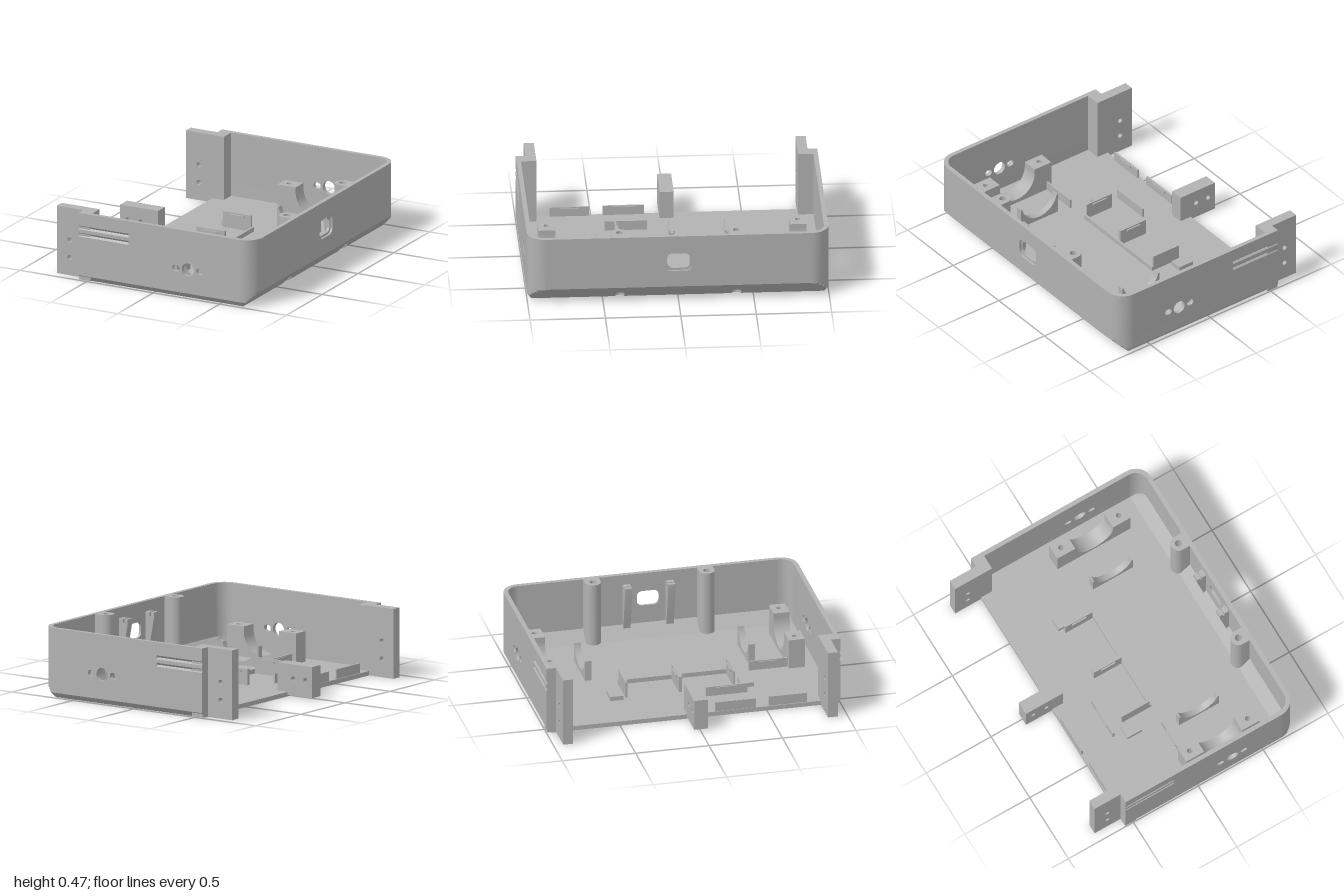
import * as THREE from 'three';
import { toCreasedNormals } from 'three/addons/utils/BufferGeometryUtils.js';

const gray = new THREE.MeshStandardMaterial({ color: 0xb2b2b2, side: THREE.DoubleSide });
gray.name = 'plain gray';
const H = 0.47, LEFT = -0.56, RIGHT = 0.76, T = 0.03; // shell height, ends, wall
const BOSS_X = 0.675, BOSS_Z = 0.387, BORE = 0.035;

const poly = pts => new THREE.Shape(pts.map(p => new THREE.Vector2(p[0], p[1])));
const rect = (x0, y0, x1, y1) => poly([[x0, y0], [x1, y0], [x1, y1], [x0, y1]]);
function rounded(cx, cy, w, h, r) {
  const s = new THREE.Shape(), x = w / 2 - r, y = h / 2 - r;
  s.absarc(cx + x, cy + y, r, 0, Math.PI / 2);
  s.absarc(cx - x, cy + y, r, Math.PI / 2, Math.PI);
  s.absarc(cx - x, cy - y, r, Math.PI, Math.PI * 1.5);
  s.absarc(cx + x, cy - y, r, Math.PI * 1.5, Math.PI * 2);
  return s;
}
const circle = (x, y, r) => new THREE.Path().absarc(x, y, r, 0, Math.PI * 2);
function cut(shape, ...holes) { shape.holes.push(...holes); return shape; }
const extrude = (shape, depth) => new THREE.ExtrudeGeometry(shape, { depth, bevelEnabled: false, curveSegments: 20 });
// Extrusions of a front (x,y), plan (x,z) or side (z,y) outline
const front = (s, z0, z1) => extrude(s, z1 - z0).translate(0, 0, z0);
const plan = (s, y0, y1) => extrude(s, y1 - y0).rotateX(Math.PI / 2).translate(0, y1, 0);
const side = (s, x0, x1) => extrude(s, x1 - x0).rotateY(-Math.PI / 2).translate(x1, 0, 0);
const box = (x0, x1, y0, y1, z0, z1) =>
  new THREE.BoxGeometry(x1 - x0, y1 - y0, z1 - z0).translate((x0 + x1) / 2, (y0 + y1) / 2, (z0 + z1) / 2);

// Surface through rows of points
function loft(rows) {
  const n = rows[0].length, index = [];
  for (let i = 0; i < rows.length - 1; i++) for (let j = 0; j < n - 1; j++) {
    const a = i * n + j, b = a + n;
    index.push(a, b, a + 1, a + 1, b, b + 1);
  }
  const g = new THREE.BufferGeometry();
  g.setAttribute('position', new THREE.Float32BufferAttribute(rows.flat(2), 3));
  g.setIndex(index);
  return g;
}

// Half of the U-shaped shell outline at height y, trimmed by the bottom chamfers
function outline(y, inset, s, arcOnly) {
  const pts = arcOnly ? [] : [[LEFT, 1 - inset]], r = 0.12 - inset;
  for (let k = 0; k <= 14; k++) {
    const a = Math.PI / 2 * (1 - k / 14);
    pts.push([0.64 + r * Math.cos(a), 0.88 + r * Math.sin(a)]);
  }
  const xMax = inset ? 0.62 + y : 0.66 + y, zMax = inset ? 1 : 0.97 + 0.857 * y;
  return pts.map(([x, z]) => [Math.min(x, xMax), y, s * Math.min(z, zMax)]);
}

// Flat floor and sloped strip, both notched by the two screw bores
function floorSkin(xe, x1, ze, y0, holes) {
  const al = Math.acos((xe - BOSS_X) / BORE);
  const arc = (zc, a, b) => Array.from({ length: 17 }, (_, i) => {
    const t = a + (b - a) * i / 16;
    return [BOSS_X + BORE * Math.cos(t), zc + BORE * Math.sin(t)];
  });
  const flat = cut(poly([[LEFT, -ze], [xe, -ze], ...arc(-BOSS_Z, -al, al - 2 * Math.PI),
    ...arc(BOSS_Z, -al, al - 2 * Math.PI), [xe, ze], [LEFT, ze]]), ...holes);
  const slope = poly([[xe, -0.88], [x1, -0.88], [x1, 0.88], [xe, 0.88],
    ...arc(BOSS_Z, al, -al), ...arc(-BOSS_Z, al, -al)]);
  return [flat, slope].map(s => {
    const g = new THREE.ShapeGeometry(s).rotateX(Math.PI / 2), p = g.attributes.position;
    for (let i = 0; i < p.count; i++) p.setY(i, y0 + Math.max(0, p.getX(i) - xe));
    return g;
  });
}

export function createModel() {
  const model = new THREE.Group();
  model.name = 'openEnclosure';
  const add = (name, geo) => {
    const m = new THREE.Mesh(toCreasedNormals(geo, 0.5), gray);
    m.name = name;
    model.add(m);
  };

  // Floor, with two small slots underneath
  const slots = [-0.447, 0.443].map(z => rect(-0.225, z - 0.025, -0.145, z + 0.025));
  floorSkin(0.66, 0.77, 0.97, 0, slots).forEach(g => add('floorUnderside', g));
  floorSkin(0.65, 0.73, 0.97, T, []).forEach(g => add('floorTop', g));
  add('floorEdge', new THREE.ShapeGeometry(poly([[-0.97, 0], [0.97, 0], [1, 0.035], [1, 0.11], [0.97, 0.11],
    [0.97, T], [-0.97, T], [-0.97, 0.11], [-1, 0.11], [-1, 0.035]])).rotateY(-Math.PI / 2).translate(LEFT, 0, 0));

  // Right wall with a stepped port opening
  add('rightWallOuter', side(cut(rect(-0.88, 0.1, 0.88, H), rounded(0, 0.287, 0.18, 0.135, 0.04)), 0.745, RIGHT));
  add('rightWallInner', side(cut(rect(-0.88, 0.11, 0.88, H), rounded(0, 0.287, 0.15, 0.105, 0.035)), 0.73, 0.745));

  for (const s of [-1, 1]) {
    const span = (a, b) => s > 0 ? [a, b] : [-b, -a];
    // Chamfered lower shell and rounded corner
    add('lowerShell', loft([0, 0.035, 0.05, 0.065, 0.08, 0.1, 0.11].map(y => outline(y, 0, s))));
    add('lowerShellInside', loft([0.03, 0.05, 0.07, 0.09, 0.11].map(y => outline(y, T, s))));
    add('corner', loft([[0.11, 0], [H, 0], [H, T], [0.11, T]].map(([y, i]) => outline(y, i, s, true))));

    // Long wall with shaft and screw holes, then its grooved end
    add('longWall', front(cut(rect(-0.185, 0.11, 0.64, H), circle(0.26, 0.2, 0.046),
      rounded(0.17, 0.2, 0.054, 0.044, 0.0215), rounded(0.35, 0.2, 0.054, 0.044, 0.0215)), ...span(0.97, 1)));
    const notch = y => [[s, y - 0.012], [s * 0.988, y], [s, y + 0.014]];
    add('groovedWall', side(poly([[s * 0.97, 0.11], [s, 0.11], ...notch(0.318), ...notch(0.368),
      [s, H], [s * 0.97, H]]), LEFT, -0.185));

    // End bracket
    add('endBracket', front(cut(rect(-0.76, 0, -0.475, H), circle(-0.663, 0.245, 0.017),
      circle(-0.663, 0.123, 0.017)), ...span(0.867, 0.935)));
    add('bracketPad', box(LEFT, -0.475, 0.005, H, ...span(0.935, 0.995)));

    // Screw boss, following the slope at its foot, and the bore below it
    const z = s * BOSS_Z, foot = x => Math.max(T, x - 0.62);
    const b = new THREE.Shape();
    b.moveTo(0.73, z - 0.053);
    b.lineTo(BOSS_X, z - 0.053);
    b.absarc(BOSS_X, z, 0.053, -Math.PI / 2, Math.PI / 2, true);
    b.lineTo(0.73, z + 0.053);
    const boss = plan(cut(b, circle(BOSS_X, z, 0.023)), 0, H), p = boss.attributes.position;
    for (let i = 0; i < p.count; i++) if (p.getY(i) < 0.01) p.setY(i, foot(p.getX(i)));
    add('screwBoss', boss);
    const ring = f => Array.from({ length: 33 }, (_, i) => {
      const x = BOSS_X + BORE * Math.cos(i * Math.PI / 16);
      return [x, f(x), z + BORE * Math.sin(i * Math.PI / 16)];
    });
    add('screwBore', loft([ring(x => Math.max(0, x - 0.66)), ring(foot)]));

    // Motor cradle: two drilled ears with a round saddle between
    const zs = span(0.778, 0.887), mid = (zs[0] + zs[1]) / 2;
    for (const [x0, x1, hx] of [[-0.025, 0.113, 0.035], [0.403, 0.54, 0.48]])
      add('cradleEar', plan(cut(rect(x0, zs[0], x1, zs[1]), circle(hx, mid, 0.018)), T, 0.235));
    const saddle = (x0, x1, a) => {
      const c = new THREE.Shape();
      c.moveTo(x0, T);
      c.lineTo(x1, T);
      c.lineTo(x1, 0.2 + 0.145 * Math.sin(a));
      c.absarc(0.258, 0.2, 0.145, a, Math.PI - a, true);
      c.lineTo(x0, 0.2 + 0.145 * Math.sin(a));
      return c;
    };
    add('cradleSaddle', front(saddle(0.113, 0.403, 0), ...zs));
    add('cradleRib', front(saddle(0.105, 0.411, -0.2), ...span(0.535, 0.578)));

    // Port board holder and small floor block
    add('portHolder', front(poly([[0.735, 0.09], [0.71, 0.09], [0.66, 0.36], [0.66, 0.4], [0.685, 0.4],
      [0.685, 0.37], [0.695, 0.37], [0.695, 0.4], [0.735, 0.4]]), ...span(0.122, 0.172)));
    add('floorBlock', box(-0.24, -0.13, T, 0.06, ...span(0.4, 0.488)));
  }

  // Middle bracket
  add('middleBracket', front(cut(rect(-0.76, 0.01, -0.475, 0.22), circle(-0.705, 0.123, 0.017),
    circle(-0.605, 0.123, 0.017)), -0.043, 0.05));

  // Board tray: a low rail with upright clips
  add('trayRail', box(0, 0.015, T, 0.06, -0.377, 0.368));
  for (const [z, lips] of [[-0.371, [1]], [-0.004, [-1, 1]], [0.362, [-1]]]) {
    const w = lips.length > 1 ? 0.011 : 0.006;
    add('trayClip', box(-0.21, 0, T, 0.14, z - w, z + w));
    for (const d of lips) {
      const e = z + d * w;
      add('clipLip', box(-0.16, -0.05, 0.115, 0.13, Math.min(e, e + d * 0.01), Math.max(e, e + d * 0.01)));
    }
  }

  // Low clips for the two smaller boards
  for (const [x, z0, z1, d] of [[-0.551, 0.15, 0.425, 1], [-0.31, 0.145, 0.425, -1],
    [-0.547, 0.515, 0.775, 1], [0.012, 0.515, 0.775, -1]]) {
    add('boardClip', box(x - 0.006, x + 0.006, T, 0.095, z0, z1));
    add('boardClipLip', box(x + d * 0.009 - 0.005, x + d * 0.009 + 0.005, 0.075, 0.09, z0 + 0.07, z1 - 0.07));
  }
  return model;
}
